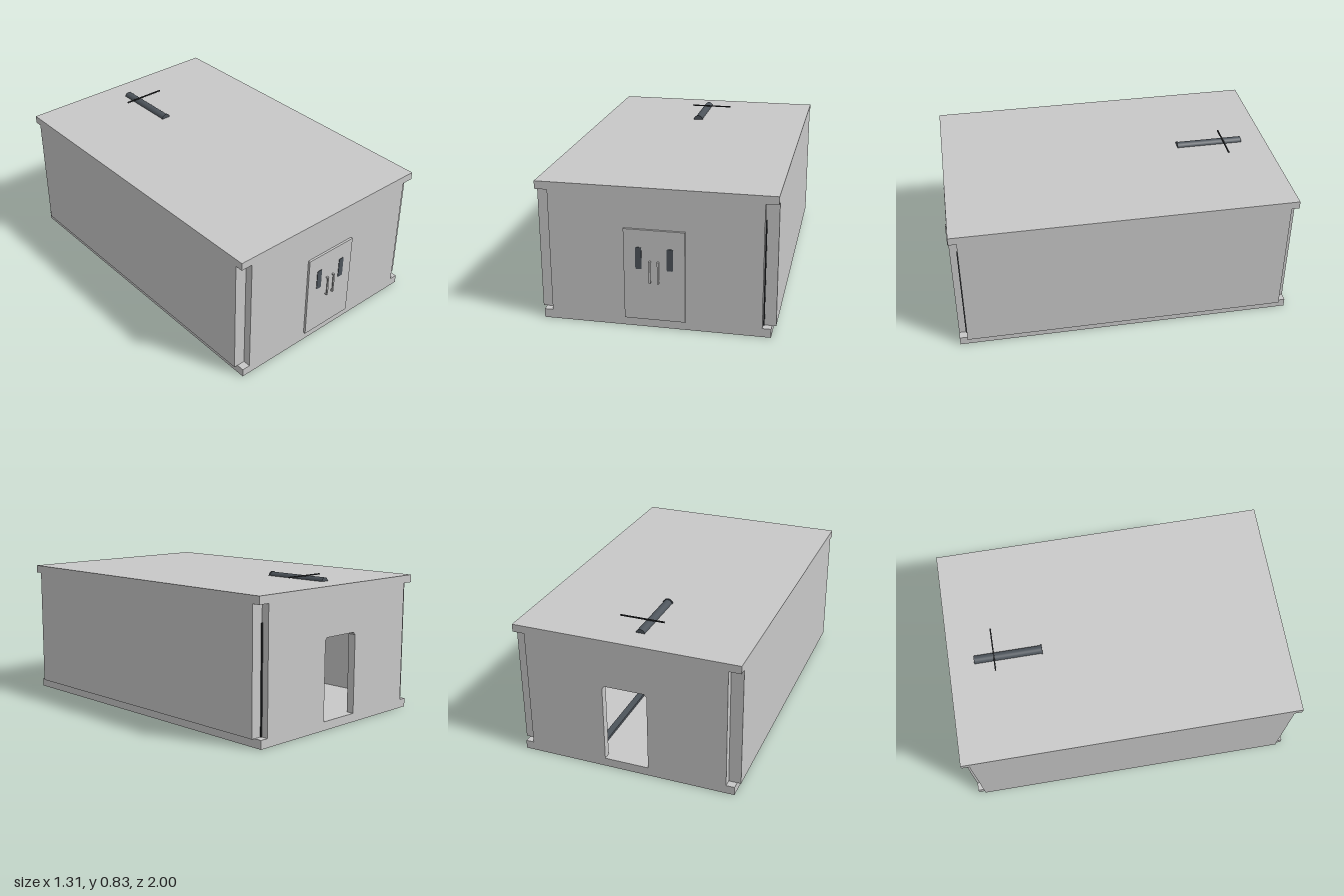
import * as THREE from 'three';

const paint = (name, color) => {
  const m = new THREE.MeshStandardMaterial({ color });
  m.name = name;
  return m;
};

// Rounded rectangle outline, usable as a shape or a hole
function roundedRect(Type, x0, y0, x1, y1, r) {
  const s = new Type();
  s.moveTo(x0 + r, y0);
  s.lineTo(x1 - r, y0);
  s.absarc(x1 - r, y0 + r, r, -Math.PI / 2, 0);
  s.lineTo(x1, y1 - r);
  s.absarc(x1 - r, y1 - r, r, 0, Math.PI / 2);
  s.lineTo(x0 + r, y1);
  s.absarc(x0 + r, y1 - r, r, Math.PI / 2, Math.PI);
  s.lineTo(x0, y0 + r);
  s.absarc(x0 + r, y0 + r, r, Math.PI, Math.PI * 1.5);
  return s;
}

export function createModel() {
  const concrete = paint('concrete', 0xc8c8c8);
  const slate = paint('slate', 0x4d545b);
  const black = paint('black', 0x2a2c2f);
  const model = new THREE.Group();
  model.name = 'building';

  const add = (name, geometry, material, x = 0, y = 0, z = 0) => {
    const mesh = new THREE.Mesh(geometry, material);
    mesh.name = name;
    mesh.position.set(x, y, z);
    model.add(mesh);
    return mesh;
  };
  // Box given by its opposite corners
  const box = (name, material, x0, x1, y0, y1, z0, z1) =>
    add(name, new THREE.BoxGeometry(x1 - x0, y1 - y0, z1 - z0), material,
      (x0 + x1) / 2, (y0 + y1) / 2, (z0 + z1) / 2);

  // Shell: floor slab, roof slab, and walls leaving open notches at the corners
  box('floorSlab', concrete, -0.633, 0.633, 0, 0.05, -1, 0.972);
  box('roofSlab', concrete, -0.655, 0.655, 0.755, 0.8, -1, 0.972);
  for (const s of [-1, 1]) {
    const wall = box('sideWall', concrete, 0.585, 0.655, 0.05, 0.755, -0.955, 0.927);
    wall.position.x *= s;
  }
  box('frontWall', concrete, -0.585, 0.585, 0.05, 0.755, 0.927, 0.972);

  // Back wall with an open doorway
  const back = new THREE.Shape();
  back.moveTo(-0.585, 0.05);
  back.lineTo(-0.13, 0.05);
  back.lineTo(-0.13, 0.505);
  back.lineTo(-0.115, 0.52);
  back.lineTo(0.115, 0.52);
  back.lineTo(0.13, 0.505);
  back.lineTo(0.13, 0.05);
  back.lineTo(0.585, 0.05);
  back.lineTo(0.585, 0.755);
  back.lineTo(-0.585, 0.755);
  add('backWall', new THREE.ExtrudeGeometry(back, { depth: 0.045, bevelEnabled: false }),
    concrete, 0, 0, -1);

  // Thin dark strips standing in the corner notches of the left wall
  for (const z of [0.929, -0.957])
    box('cornerStrip', black, 0.583, 0.592, 0.05, 0.652, z - 0.005, z + 0.005);

  // Front double door with windows and pull handles
  for (const s of [-1, 1]) {
    const leaf = box('doorLeaf', concrete, 0, 0.168, 0.05, 0.57, 0.97, 0.985);
    leaf.position.x *= s;
    const pane = roundedRect(THREE.Shape, -0.017, 0.345, 0.017, 0.47, 0.006);
    add('doorWindow', new THREE.ExtrudeGeometry(pane, { depth: 0.006, bevelEnabled: false, curveSegments: 4 }),
      slate, s * 0.086, 0, 0.982);
    box('handleBar', concrete, s * 0.023 - 0.005, s * 0.023 + 0.005, 0.27, 0.395, 0.994, 1);
    for (const y of [0.27, 0.387])
      box('handleMount', concrete, s * 0.023 - 0.005, s * 0.023 + 0.005, y, y + 0.008, 0.984, 0.995);
  }

  // Half-sunk roof pipe with an end rim and a thin cross rod
  const pipe = add('roofPipe', new THREE.CylinderGeometry(0.026, 0.026, 0.4, 24), slate, -0.038, 0.796, -0.65);
  pipe.rotation.x = Math.PI / 2;
  const rim = add('pipeRim', new THREE.CylinderGeometry(0.03, 0.03, 0.008, 24), slate, -0.038, 0.796, -0.454);
  rim.rotation.x = Math.PI / 2;
  box('crossRod', black, -0.13, 0.13, 0.821, 0.828, -0.736, -0.729);

  // Interior: floor rail and rows of wall vents
  box('floorRail', slate, 0.19, 0.23, 0.05, 0.065, -0.9, 0.85);
  for (let row = 0; row < 2; row++)
    for (let i = 0; i < 6; i++) {
      const z = -0.55 + i * 0.12;
      box('wallVent', black, -0.586, -0.582, 0.66 + row * 0.04, 0.67 + row * 0.04, z, z + 0.06);
    }
  return model;
}
